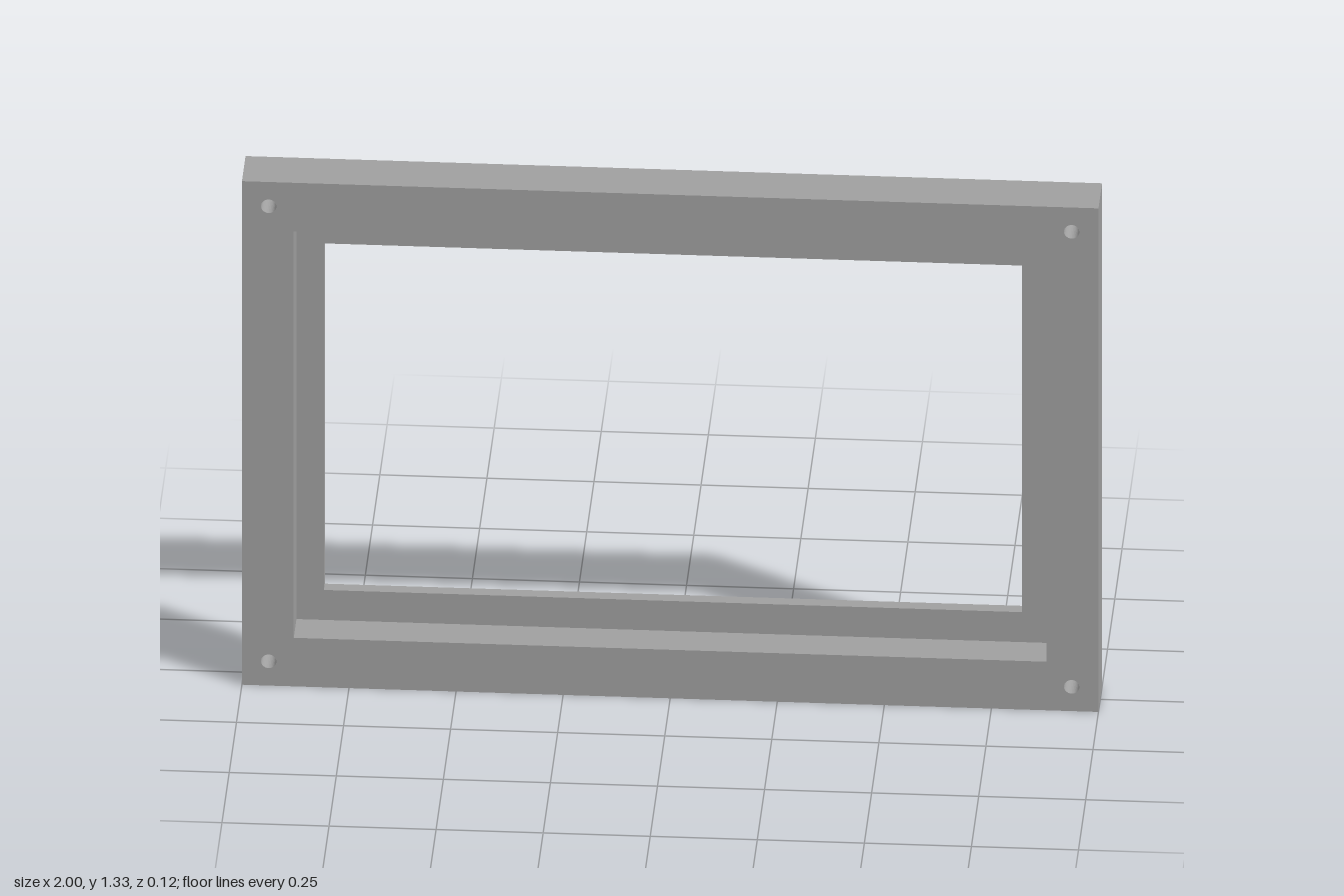
import * as THREE from 'three';
import { mergeGeometries } from 'three/addons/utils/BufferGeometryUtils.js';

const HEIGHT = 1.328;
const FRONT = 0.0625, LEDGE = -0.031, BACK = -0.0625;
const HOLE_RADIUS = 0.018, HOLE_SIDES = 32;

// counter-clockwise rectangle corners
const rect = (x0, y0, x1, y1) => [[x0, y0], [x1, y0], [x1, y1], [x0, y1]].map(([x, y]) => new THREE.Vector2(x, y));

const outer = rect(-1, 0, 1, HEIGHT);
const recess = rect(-0.879, 0.128, 0.879, 1.2);
const opening = rect(-0.815, 0.207, 0.815, 1.121);
const holeCentres = rect(-0.9375, 0.064, 0.9375, HEIGHT - 0.064);

// flat face with holes, at depth z
function face(outline, holes, z, backward = false) {
  const shape = new THREE.Shape(outline);
  shape.holes = holes.map((points) => new THREE.Path(points));
  const geometry = new THREE.ShapeGeometry(shape);
  if (backward) geometry.rotateY(Math.PI);
  return geometry.translate(0, 0, z).toNonIndexed();
}

// straight walls along a closed outline, facing outward or inward
function walls(outline, z0, z1, inward = false) {
  const points = inward ? [...outline].reverse() : outline;
  const position = [], uv = [];
  points.forEach((a, i) => {
    const b = points[(i + 1) % points.length];
    position.push(a.x, a.y, z0, b.x, b.y, z0, b.x, b.y, z1, a.x, a.y, z0, b.x, b.y, z1, a.x, a.y, z1);
    uv.push(0, 0, 1, 0, 1, 1, 0, 0, 1, 1, 0, 1);
  });
  const geometry = new THREE.BufferGeometry();
  geometry.setAttribute('position', new THREE.Float32BufferAttribute(position, 3));
  geometry.setAttribute('uv', new THREE.Float32BufferAttribute(uv, 2));
  geometry.computeVertexNormals();
  return geometry;
}

export function createModel() {
  const group = new THREE.Group();
  group.name = 'bezelFrame';
  const grey = new THREE.MeshStandardMaterial({ color: 0xa0a0a0 });
  grey.name = 'grey';

  const add = (name, geometry) => {
    const mesh = new THREE.Mesh(geometry, grey);
    mesh.name = name;
    group.add(mesh);
    return mesh;
  };

  // frame body: front rim, recessed ledge and plain back
  const circles = holeCentres.map((c) => Array.from({ length: HOLE_SIDES }, (_, i) => {
    const angle = (i / HOLE_SIDES) * Math.PI * 2;
    return new THREE.Vector2(c.x + HOLE_RADIUS * Math.cos(angle), c.y + HOLE_RADIUS * Math.sin(angle));
  }));
  add('frame', mergeGeometries([
    face(outer, [recess, ...circles], FRONT),
    face(recess, [opening], LEDGE),
    face(outer, [opening], BACK, true),
    walls(outer, BACK, FRONT),
    walls(recess, LEDGE, FRONT, true),
    walls(opening, BACK, LEDGE, true),
  ]));

  // blind screw holes in the four corners
  const profile = [[HOLE_RADIUS, FRONT], [HOLE_RADIUS, LEDGE], [0, LEDGE]].map(([r, y]) => new THREE.Vector2(r, y));
  const cup = new THREE.LatheGeometry(profile, HOLE_SIDES).rotateX(Math.PI / 2).toNonIndexed();
  cup.computeVertexNormals();
  holeCentres.forEach((c) => add('screwHole', cup).position.set(c.x, c.y, 0));

  return group;
}
